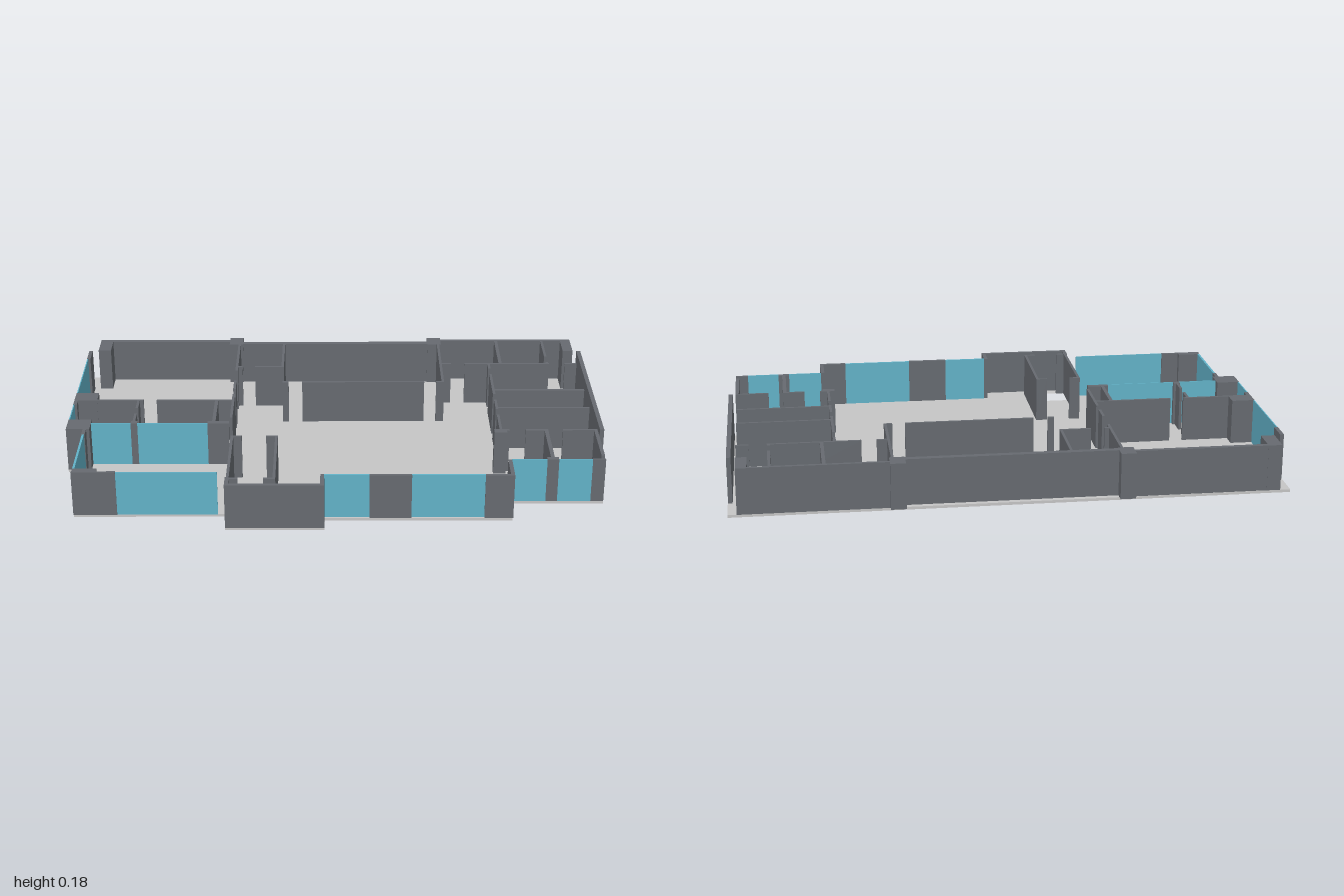
import * as THREE from 'three';

const FLOOR = 0.01, TOP = 0.18;

export function createModel() {
  const model = new THREE.Group();
  model.name = 'floorPlan';
  const material = (name, color) => {
    const m = new THREE.MeshStandardMaterial({ color });
    m.name = name;
    return m;
  };
  const wallGrey = material('wallGrey', 0x666a70);
  const floorGrey = material('floorGrey', 0xc6c6c6);
  const glassBlue = material('glassBlue', 0x62b2c8);

  // Upright block over the plan rectangle x0..x1, z0..z1
  function block(parent, name, mat, x0, x1, z0, z1) {
    const mesh = new THREE.Mesh(new THREE.BoxGeometry(x1 - x0, TOP - FLOOR, z1 - z0), mat);
    mesh.position.set((x0 + x1) / 2, (TOP + FLOOR) / 2, (z0 + z1) / 2);
    mesh.name = name;
    parent.add(mesh);
  }
  function group(name) {
    const g = new THREE.Group();
    g.name = name;
    model.add(g);
    return g;
  }
  // Walls along x (at one z) or along z (at one x), given as runs between door gaps
  function alongX(parent, name, mat, z, t, runs) {
    for (const [a, b] of runs) block(parent, name, mat, a, b, z - t / 2, z + t / 2);
  }
  function alongZ(parent, name, mat, x, t, runs) {
    for (const [a, b] of runs) block(parent, name, mat, x - t / 2, x + t / 2, a, b);
  }

  // Floor slab with the shaft opening
  const outline = [[-1, -0.627], [0.997, -0.627], [0.997, 0.21], [0.97, 0.21], [0.97, 0.447],
    [0.63, 0.447], [0.63, 0.57], [-0.04, 0.57], [-0.04, 0.64], [-0.39, 0.64],
    [-0.39, 0.54], [-0.935, 0.545], [-0.935, 0.2], [-1, 0.2]];
  const shape = new THREE.Shape(outline.map(([x, z]) => new THREE.Vector2(x, -z)));
  const shaft = [[-0.375, 0.49], [-0.22, 0.49], [-0.22, 0.585], [-0.375, 0.585]];
  shape.holes.push(new THREE.Path(shaft.map(([x, z]) => new THREE.Vector2(x, -z))));
  const slab = new THREE.ExtrudeGeometry(shape, { depth: FLOOR, bevelEnabled: false });
  slab.rotateX(-Math.PI / 2);
  const floor = new THREE.Mesh(slab, floorGrey);
  floor.name = 'floor';
  model.add(floor);

  // Outer walls
  const outer = group('outerWalls');
  const W = 'outerWall';
  alongX(outer, W, wallGrey, -0.617, 0.018, [[-0.915, -0.43]]);
  alongX(outer, W, wallGrey, -0.597, 0.022, [[-0.38, 0.38]]);
  alongX(outer, W, wallGrey, -0.622, 0.013, [[0.43, 0.965]]);
  alongZ(outer, W, wallGrey, 0.988, 0.016, [[-0.515, 0.205]]);
  alongZ(outer, W, wallGrey, -0.993, 0.014, [[-0.515, -0.435], [-0.045, -0.013]]);
  alongZ(outer, W, wallGrey, -0.931, 0.013, [[0.2, 0.245]]);
  alongX(outer, W, wallGrey, 0.541, 0.011, [[-0.937, -0.78]]);
  alongX(outer, W, wallGrey, 0.563, 0.014, [[0.12, 0.27], [0.53, 0.632]]);
  alongZ(outer, W, wallGrey, 0.626, 0.014, [[0.447, 0.57]]);
  alongZ(outer, W, wallGrey, 0.964, 0.013, [[0.205, 0.415]]);
  alongZ(outer, W, wallGrey, -0.383, 0.014, [[0.58, 0.642]]);
  alongX(outer, W, wallGrey, 0.635, 0.015, [[-0.39, -0.04]]);
  alongZ(outer, W, wallGrey, -0.047, 0.014, [[0.557, 0.642]]);

  // Columns and posts
  const columns = group('columns');
  for (const c of [
    [-0.963, -0.913, -0.627, -0.52], [0.925, 0.965, -0.625, -0.515],
    [-0.433, -0.378, -0.648, -0.58], [0.378, 0.433, -0.648, -0.58],
    [-1, -0.913, -0.113, -0.045], [-1, -0.913, 0.12, 0.2],
    [-0.935, -0.848, 0.515, 0.546], [-0.765, -0.74, 0.132, 0.152],
    [-0.478, -0.398, 0.132, 0.152], [0.588, 0.635, 0.2, 0.23],
    [0.76, 0.802, 0.427, 0.447], [0.923, 0.97, 0.437, 0.447],
  ]) block(columns, 'column', wallGrey, ...c);

  // Inner partitions, gaps are doorways
  const inner = group('innerWalls');
  const P = 'partition', T = 0.01;
  alongZ(inner, P, wallGrey, -0.392, T, [[-0.585, -0.325], [-0.227, -0.152], [-0.105, 0.104]]);
  alongX(inner, P, wallGrey, -0.362, T, [[-0.39, -0.37], [-0.32, -0.207]]);
  alongZ(inner, P, wallGrey, -0.21, T, [[-0.585, -0.357]]);
  alongX(inner, P, wallGrey, -0.217, T, [[-0.207, -0.183], [-0.13, 0.348], [0.395, 0.42]]);
  alongZ(inner, P, wallGrey, 0.421, T, [[-0.585, -0.212]]);
  alongX(inner, P, wallGrey, -0.388, T, [[0.421, 0.463], [0.518, 0.855], [0.918, 0.965]]);
  alongZ(inner, P, wallGrey, 0.66, 0.013, [[-0.617, -0.388]]);
  alongZ(inner, P, wallGrey, 0.848, T, [[-0.617, -0.458], [-0.405, -0.383]]);
  alongZ(inner, P, wallGrey, 0.613, T, [[-0.388, -0.34], [-0.287, -0.105], [-0.055, 0.03], [0.077, 0.205]]);
  for (const z of [-0.142, 0.018]) alongX(inner, P, wallGrey, z, T, [[0.613, 0.965]]);
  alongX(inner, P, wallGrey, 0.206, T, [[0.613, 0.645], [0.705, 0.788], [0.843, 0.97]]);
  alongZ(inner, P, wallGrey, 0.781, 0.014, [[0.205, 0.44]]);
  alongX(inner, P, wallGrey, -0.051, T, [[-0.913, -0.735], [-0.685, -0.39]]);
  alongZ(inner, P, wallGrey, -0.754, T, [[-0.05, 0.018], [0.067, 0.14]]);
  alongZ(inner, P, wallGrey, -0.455, 0.013, [[-0.05, 0.14]]);

  // Walls around the shaft
  const shaftWalls = group('shaftWalls');
  for (const x of [-0.381, -0.217]) alongZ(shaftWalls, P, wallGrey, x, T, [[0.252, 0.59]]);
  for (const z of [0.257, 0.588]) alongX(shaftWalls, P, wallGrey, z, T, [[-0.38, -0.345], [-0.255, -0.213]]);

  // Window panes
  const windows = group('windows');
  const G = 'windowPane', thin = 0.004;
  alongX(windows, G, glassBlue, 0.543, thin, [[-0.78, -0.42]]);
  alongX(windows, G, glassBlue, 0.561, 0.008, [[-0.04, 0.12], [0.27, 0.53]]);
  alongX(windows, G, glassBlue, 0.445, thin, [[0.633, 0.76], [0.802, 0.923]]);
  alongZ(windows, G, glassBlue, -0.931, 0.008, [[0.245, 0.515]]);
  alongZ(windows, G, glassBlue, -0.997, thin, [[-0.435, -0.113], [-0.013, 0.12]]);
  alongX(windows, G, glassBlue, 0.15, thin, [[-0.913, -0.765], [-0.74, -0.478]]);

  return model;
}
